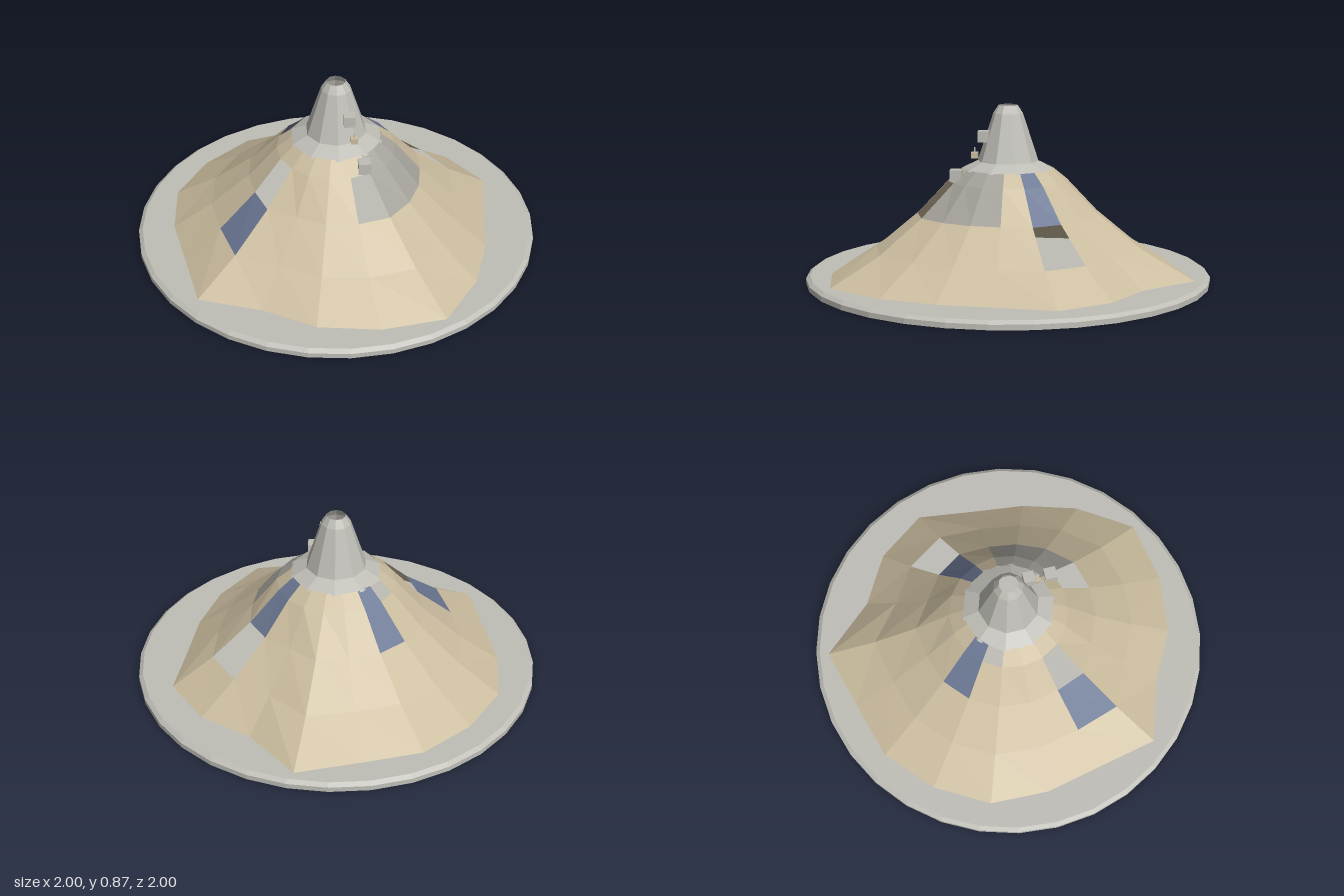
import * as THREE from 'three';

const paint = (name, color) =>
  new THREE.MeshStandardMaterial({ name, color, flatShading: true, side: THREE.DoubleSide });

// Hem radius at every 20 degrees, from +x round through +z
const HEM = [0.76, 0.775, 0.84, 0.93, 0.873, 0.834, 0.79, 0.91, 0.81,
  0.82, 0.86, 0.86, 0.87, 0.85, 0.934, 0.77, 0.82, 0.85];
const SIDES = HEM.length;
const RING_Y = [0.04, 0.175, 0.34, 0.5, 0.56];

// The skirt's irregularity fades out towards the top
function ringRadius(ring, j) {
  const h = HEM[j % SIDES] - 0.8;
  return [0.8 + h, 0.615 + 0.5 * h, 0.43 + 0.25 * h, 0.293, 0.22][ring];
}

function ringPoint(ring, j) {
  const a = (j % SIDES) * Math.PI * 2 / SIDES;
  const r = ringRadius(ring, j);
  return [r * Math.cos(a), RING_Y[ring], r * Math.sin(a)];
}

// Which covering each skirt cell has; openings are left out
function cellKind(band, j) {
  const cell = band + ':' + j;
  if (['2:3', '2:7', '3:10', '1:16'].includes(cell)) return 'opening';
  if (band >= 2 && j <= 2) return 'panel';
  if (cell === '1:7' || (band >= 2 && (j === 11 || j === 16))) return 'window';
  return 'canvas';
}

function skirtGeometry(kind) {
  const positions = [];
  for (let band = 0; band < RING_Y.length - 1; band++) {
    for (let j = 0; j < SIDES; j++) {
      if (cellKind(band, j) !== kind) continue;
      const a = ringPoint(band, j), b = ringPoint(band + 1, j);
      const c = ringPoint(band + 1, j + 1), d = ringPoint(band, j + 1);
      positions.push(...a, ...b, ...c, ...a, ...c, ...d);
    }
  }
  const geometry = new THREE.BufferGeometry();
  geometry.setAttribute('position', new THREE.Float32BufferAttribute(positions, 3));
  geometry.computeVertexNormals();
  return geometry;
}

function lathe(profile, sides) {
  return new THREE.LatheGeometry(profile.map(([r, y]) => new THREE.Vector2(r, y)), sides);
}

export function createModel() {
  const model = new THREE.Group();
  model.name = 'conicalTower';
  const lightGrey = paint('lightGrey', 0xbebdb6);
  const midGrey = paint('midGrey', 0xa5a39b);
  const tan = paint('tan', 0xcbbd9f);
  const blue = paint('blue', 0x6c7894);

  function add(name, geometry, material, x = 0, y = 0, z = 0) {
    const mesh = new THREE.Mesh(geometry, material);
    mesh.name = name;
    mesh.position.set(x, y, z);
    model.add(mesh);
    return mesh;
  }

  // Round base plate with a bevelled rim
  add('basePlate', lathe([[0, 0], [1, 0], [1, 0.025], [0.98, 0.04], [0, 0.04]], 32), lightGrey);

  // Faceted skirt with openings
  add('skirtCanvas', skirtGeometry('canvas'), tan);
  add('skirtPanels', skirtGeometry('panel'), midGrey);
  add('skirtWindows', skirtGeometry('window'), blue);

  // Collar and open-topped spire
  add('collar', lathe([[0.23, 0.555], [0.15, 0.595]], 10), lightGrey);
  add('spire', lathe([[0.15, 0.595], [0.073, 0.83], [0.047, 0.87]], 10), lightGrey);

  // Equipment boxes down the front
  add('upperBox', new THREE.BoxGeometry(0.055, 0.055, 0.055), lightGrey, 0.057, 0.72, 0.115);
  add('lowerBox', new THREE.BoxGeometry(0.06, 0.058, 0.06), lightGrey, 0.12, 0.535, 0.243);
  add('smallBox', new THREE.BoxGeometry(0.032, 0.03, 0.032), tan, 0.077, 0.63, 0.157);
  add('smallMast', new THREE.BoxGeometry(0.006, 0.05, 0.006), lightGrey, 0.077, 0.645, 0.157);

  return model;
}
